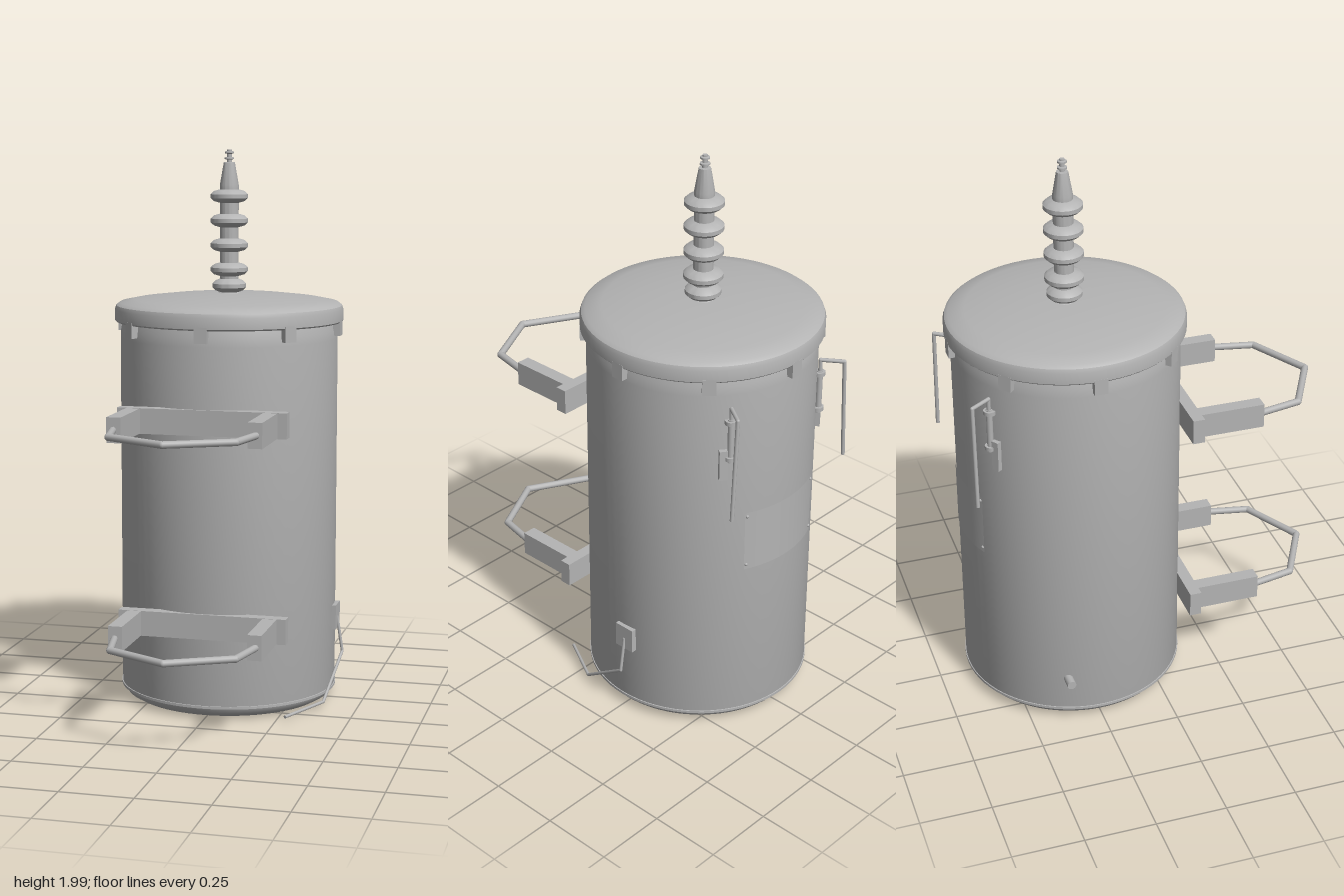
import * as THREE from 'three';
import { toCreasedNormals } from 'three/addons/utils/BufferGeometryUtils.js';

const CX = -0.007, CZ = -0.248; // tank axis
const grey = new THREE.MeshStandardMaterial({ color: 0xb4b4b4 });
grey.name = 'grey paint';

function add(parent, name, geometry, x = 0, y = 0, z = 0) {
  const mesh = new THREE.Mesh(geometry, grey);
  mesh.name = name;
  mesh.position.set(x, y, z);
  parent.add(mesh);
  return mesh;
}

// Solid of revolution from [radius, height] pairs, listed bottom to top
function turned(profile, segments = 72) {
  const pts = profile.map(([r, y]) => new THREE.Vector2(r, y));
  return toCreasedNormals(new THREE.LatheGeometry(pts, segments), 0.5);
}

// Bent round bar: straight cylinders joined by balls
function bar(parent, name, points, radius) {
  const group = new THREE.Group();
  group.name = name;
  const pts = points.map((p) => new THREE.Vector3(...p));
  for (let i = 1; i < pts.length; i++) {
    const dir = pts[i].clone().sub(pts[i - 1]);
    const mid = pts[i].clone().add(pts[i - 1]).multiplyScalar(0.5);
    const seg = add(group, name + 'Segment', new THREE.CylinderGeometry(radius, radius, dir.length(), 12), mid.x, mid.y, mid.z);
    seg.quaternion.setFromUnitVectors(new THREE.Vector3(0, 1, 0), dir.normalize());
    if (i < pts.length - 1) add(group, name + 'Bend', new THREE.SphereGeometry(radius, 12, 8), ...points[i]);
  }
  parent.add(group);
}

// Group on the tank axis, turned so that its local +z points outward; angle 0 is the back
function spoke(parent, name, angle) {
  const group = new THREE.Group();
  group.name = name;
  group.rotation.y = Math.PI - angle;
  parent.add(group);
  return group;
}

export function createModel() {
  const model = new THREE.Group();
  model.name = 'transformer';
  const body = new THREE.Group();
  body.name = 'body';
  body.position.set(CX, 0, CZ);
  model.add(body);

  // Tank with rounded bottom edge and slightly drawn-in top
  add(body, 'tank', turned([
    [0, 0.008], [0.325, 0.008], [0.352, 0.012], [0.376, 0.026], [0.388, 0.042], [0.393, 0.058],
    [0.393, 1.33], [0.391, 1.36], [0.384, 1.39], [0, 1.39],
  ]));
  add(body, 'bottomSeam', turned([[0.385, 0.046], [0.396, 0.048], [0.396, 0.057], [0.385, 0.059]]));

  // Domed lid with a rolled rim
  add(body, 'lid', turned([
    [0, 1.388], [0.408, 1.388], [0.413, 1.393], [0.413, 1.432], [0.408, 1.446], [0.395, 1.456],
    [0.34, 1.467], [0.23, 1.48], [0.12, 1.487], [0, 1.488],
  ]));
  for (let i = 0; i < 8; i++) {
    const clamp = spoke(body, 'lidClamp', i * Math.PI / 4);
    add(clamp, 'clampBlock', new THREE.BoxGeometry(0.046, 0.056, 0.026), 0, 1.372, 0.4);
  }

  // Ribbed insulator with terminal stud
  const rib = (y, r) => [[0.034, y - 0.024], [r - 0.012, y - 0.018], [r, y - 0.007], [r, y + 0.007], [r - 0.012, y + 0.018], [0.034, y + 0.024]];
  add(body, 'insulator', turned([
    [0, 1.48], [0.05, 1.48], ...rib(1.515, 0.061), ...rib(1.573, 0.067), ...rib(1.66, 0.067),
    ...rib(1.748, 0.067), ...rib(1.835, 0.067), [0.034, 1.875], [0.02, 1.955], [0, 1.957],
  ], 40));
  add(body, 'terminalStud', turned([
    [0, 1.95], [0.009, 1.95], [0.009, 1.965], [0.017, 1.966], [0.017, 1.972], [0.009, 1.974],
    [0.009, 1.985], [0.016, 1.987], [0.016, 1.993], [0.009, 1.995], [0.009, 2], [0, 2],
  ], 16));

  // Two mounting brackets with bent front handles
  for (const y of [0.345, 1.068]) {
    const bracket = new THREE.Group();
    bracket.name = 'bracket';
    bracket.position.set(CX, y, 0);
    model.add(bracket);
    add(bracket, 'bracketPlate', new THREE.BoxGeometry(0.606, 0.09, 0.042), 0, 0, 0.132);
    for (const s of [-1, 1]) add(bracket, 'bracketArm', new THREE.BoxGeometry(0.05, 0.088, 0.24), s * 0.245, 0, 0.262);
    bar(bracket, 'handle', [
      [-0.25, 0, 0.37], [-0.217, 0, 0.53], [0, 0, 0.645], [0.217, 0, 0.53], [0.25, 0, 0.37],
    ], 0.0125);
  }

  // Rear fuse holders with hanging wires, one on each side
  for (const s of [-1, 1]) {
    const fuse = spoke(body, 'fuseHolder', s * 0.6);
    const out = -s; // local direction toward the outer side
    add(fuse, 'fuseTube', new THREE.CylinderGeometry(0.011, 0.011, 0.16, 12), 0, 1.165, 0.401);
    for (const y of [1.1, 1.235]) {
      add(fuse, 'fuseCollar', new THREE.CylinderGeometry(0.021, 0.021, 0.014, 16), 0, y, 0.399);
      add(fuse, 'fuseMount', new THREE.BoxGeometry(0.024, 0.012, 0.03), 0, y, 0.388);
    }
    add(fuse, 'fuseBlock', new THREE.BoxGeometry(0.028, 0.11, 0.02), out * 0.024, 1.075, 0.398);
    bar(fuse, 'hangingWire', [[0, 1.23, 0.402], [0, 1.285, 0.402], [0, 1.285, 0.482], [-out * -0.015, 0.915, 0.493]], 0.007);
  }

  // Curved rear plate with corner rivets
  const half = 0.45;
  const plate = new THREE.CylinderGeometry(0.3955, 0.3955, 0.225, 24, 1, true, Math.PI - half, 2 * half);
  add(body, 'ratingPlate', plate, 0, 0.757, 0);
  for (const a of [-0.43, 0.43]) {
    for (const y of [0.663, 0.855]) {
      const rivet = spoke(body, 'plateRivet', a);
      add(rivet, 'rivetHead', new THREE.SphereGeometry(0.006, 10, 6), 0, y, 0.395);
    }
  }

  // Drain plug on one side
  const plug = add(body, 'drainPlug', new THREE.CylinderGeometry(0.016, 0.016, 0.06, 16), -0.386, 0.185, -0.12);
  plug.rotation.z = Math.PI / 2;

  // Earthing pad and wire on the other side
  add(model, 'earthPad', new THREE.BoxGeometry(0.02, 0.09, 0.078), 0.39, 0.313, -0.265);
  bar(model, 'earthWire', [
    [0.398, 0.31, -0.265], [0.418, 0.18, -0.265], [0.387, 0.04, -0.07], [0.285, 0.028, 0.108],
  ], 0.0055);

  return model;
}
